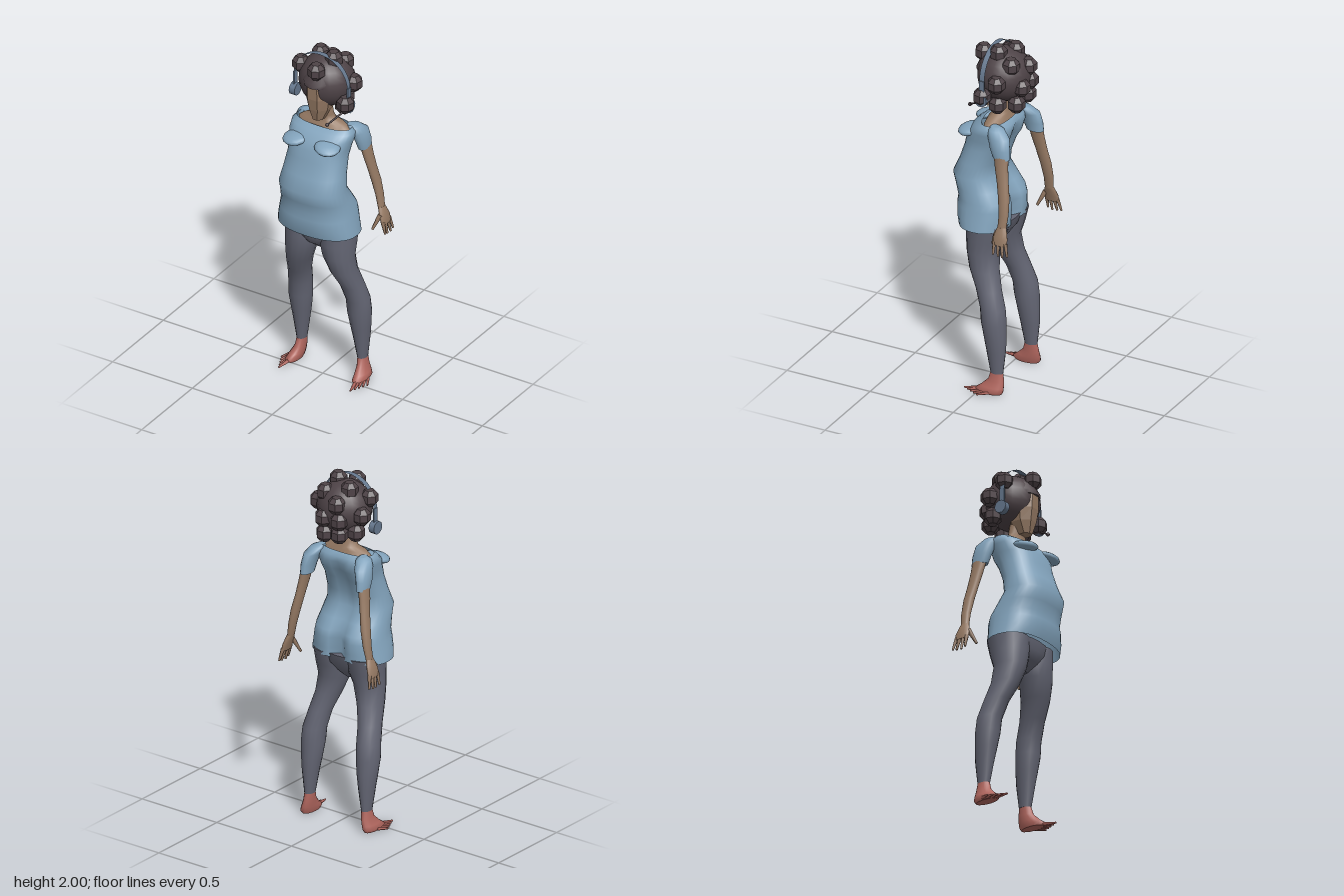
import * as THREE from 'three';

const mat = (name, color, side = THREE.FrontSide, flatShading = false) =>
  Object.assign(new THREE.MeshStandardMaterial({ color, side, flatShading }), { name });
const shirtMat = mat('shirt blue', 0x83a4bd, THREE.DoubleSide);
const pantsMat = mat('leggings grey', 0x646674);
const skinMat = mat('skin brown', 0x967a64);
const faceMat = skinMat;
const footMat = mat('foot red', 0xb0665e);
const hairMat = mat('hair dark', 0x4e4347);
const bandMat = mat('headset grey blue', 0x66788e, THREE.DoubleSide);

// Skin over horizontal rings [cx, y, cz, rx, rz, cleft], lowest ring first
function loft(rings, { sides = 16, power = 1, caps = true, flat = false, turn = 0 } = {}) {
  const pos = [], idx = [];
  const bend = v => Math.sign(v) * Math.abs(v) ** power;
  const addRing = ([cx, y, cz, rx, rz, cleft = 0]) => {
    for (let j = 0; j < sides; j++) {
      const a = (j + turn) / sides * Math.PI * 2;
      const x = rx * bend(Math.sin(a));
      const notch = Math.cos(a) < 0 ? cleft * Math.exp(-((x / 0.045) ** 2)) : 0;
      pos.push(cx + x, y, cz + rz * bend(Math.cos(a)) + notch);
    }
  };
  rings.forEach(addRing);
  for (let i = 0; i < rings.length - 1; i++) {
    for (let j = 0; j < sides; j++) {
      const a = i * sides + j, b = i * sides + (j + 1) % sides;
      idx.push(a, b, b + sides, a, b + sides, a + sides);
    }
  }
  if (caps) {
    for (const [ring, up] of [[rings[0], false], [rings[rings.length - 1], true]]) {
      const s = pos.length / 3;
      addRing(ring);
      pos.push(ring[0], ring[1], ring[2]);
      for (let j = 0; j < sides; j++) {
        const a = s + j, b = s + (j + 1) % sides;
        idx.push(s + sides, up ? a : b, up ? b : a);
      }
    }
  }
  let g = new THREE.BufferGeometry();
  g.setAttribute('position', new THREE.Float32BufferAttribute(pos, 3));
  g.setIndex(idx);
  if (flat) g = g.toNonIndexed();
  g.computeVertexNormals();
  return g;
}

// Tapered rod between two points
function rod(a, b, r0, r1, sides = 6) {
  const A = new THREE.Vector3(...a), B = new THREE.Vector3(...b), d = B.clone().sub(A);
  const g = new THREE.CylinderGeometry(r1, r0, d.length(), sides);
  g.applyQuaternion(new THREE.Quaternion().setFromUnitVectors(new THREE.Vector3(0, 1, 0), d.normalize()));
  return g.translate(...A.add(B).multiplyScalar(0.5).toArray());
}

export function createModel() {
  const model = new THREE.Group();
  model.name = 'standingWoman';
  const add = (name, geometry, material, parent = model) => {
    const mesh = new THREE.Mesh(geometry, material);
    mesh.name = name;
    parent.add(mesh);
    return mesh;
  };

  // Shirt body: [y, half width, back z, front z, cleft]
  const shirt = [
    [0.95, 0.235, -0.12, 0.18, 0.05], [1.0, 0.226, -0.125, 0.195, 0.06], [1.06, 0.214, -0.13, 0.2, 0.06],
    [1.1, 0.208, -0.12, 0.193, 0.05], [1.16, 0.198, -0.08, 0.207, 0.03], [1.23, 0.19, -0.03, 0.225, 0.015],
    [1.31, 0.178, -0.04, 0.19, 0.02], [1.4, 0.168, -0.075, 0.162, 0.03], [1.46, 0.172, -0.11, 0.15, 0.03],
    [1.51, 0.185, -0.12, 0.125, 0.02], [1.545, 0.185, -0.11, 0.085], [1.565, 0.165, -0.085, 0.05],
  ];
  add('shirt', loft(shirt.map(([y, w, b, f, c]) => [0, y, (f + b) / 2, w, (f - b) / 2, c]),
    { sides: 32, power: 0.85, caps: false }), shirtMat);

  // Bare shoulders and neck
  add('neck', loft([
    [0, 1.55, -0.02, 0.16, 0.062], [0, 1.575, -0.02, 0.13, 0.052], [0, 1.59, -0.022, 0.07, 0.045],
    [0, 1.62, -0.015, 0.055, 0.042], [0, 1.7, 0, 0.052, 0.045],
  ]), skinMat);

  // Hips
  add('hips', loft([
    [0, 0.815, 0.015, 0.025, 0.03], [0, 0.86, 0.02, 0.09, 0.08], [0, 0.91, 0.015, 0.17, 0.11],
    [0, 0.97, 0.01, 0.205, 0.12],
  ], { sides: 20 }), pantsMat);

  for (const s of [1, -1]) {
    const side = new THREE.Group();
    side.name = s > 0 ? 'leftLimbs' : 'rightLimbs';
    model.add(side);
    const limb = rings => loft(rings.map(([x, ...rest]) => [x * s, ...rest]));
    const stick = (a, b, r0, r1) => rod([a[0] * s, a[1], a[2]], [b[0] * s, b[1], b[2]], r0, r1);

    // Chest fold of the shirt
    const chest = add('chest', new THREE.SphereGeometry(1, 14, 8), shirtMat, side);
    chest.scale.set(0.072, 0.026, 0.068);
    chest.position.set(0.1 * s, 1.493, 0.112);
    chest.rotation.set(0.2, 0, -0.12 * s);

    // Sleeve and arm
    add('sleeve', limb([
      [0.187, 1.41, -0.122, 0.03, 0.05], [0.184, 1.46, -0.11, 0.035, 0.058],
      [0.17, 1.52, -0.095, 0.042, 0.062], [0.15, 1.555, -0.07, 0.04, 0.045], [0.14, 1.567, -0.06, 0.02, 0.025],
    ]), shirtMat, side);
    add('arm', limb([
      [0.263, 1.04, -0.165, 0.016, 0.025], [0.25, 1.11, -0.168, 0.02, 0.028], [0.233, 1.2, -0.16, 0.024, 0.032],
      [0.217, 1.28, -0.145, 0.022, 0.034], [0.203, 1.36, -0.13, 0.024, 0.038], [0.187, 1.45, -0.118, 0.026, 0.044],
    ]), skinMat, side);

    // Hand
    add('palm', limb([
      [0.291, 0.95, -0.167, 0.013, 0.042], [0.284, 0.985, -0.166, 0.017, 0.043],
      [0.272, 1.02, -0.165, 0.017, 0.034], [0.263, 1.045, -0.165, 0.016, 0.025],
    ]), skinMat, side);
    for (let i = 0; i < 4; i++) {
      const z = -0.2 + i * 0.022;
      add('finger', stick([0.29, 0.965, z], [0.302 + 0.004 * (i % 2), 0.885 + 0.007 * Math.abs(i - 1.5), z * 1.25 + 0.033],
        0.011, 0.006), skinMat, side);
    }
    add('thumb', stick([0.275, 1.005, -0.135], [0.247, 0.925, -0.1], 0.014, 0.007), skinMat, side);

    // Leg
    add('leg', limb([
      [0.19, 0.125, -0.095, 0.026, 0.036], [0.188, 0.25, -0.09, 0.043, 0.054], [0.186, 0.33, -0.083, 0.055, 0.062],
      [0.184, 0.42, -0.073, 0.066, 0.069], [0.18, 0.5, -0.065, 0.065, 0.069], [0.164, 0.6, -0.032, 0.063, 0.071],
      [0.138, 0.7, 0.008, 0.071, 0.083], [0.117, 0.8, 0.026, 0.088, 0.09], [0.108, 0.88, 0.015, 0.1, 0.108],
      [0.108, 0.97, 0.005, 0.102, 0.12],
    ]), pantsMat, side);

    // Foot and toes
    add('foot', limb([
      [0.207, 0.006, -0.06, 0.03, 0.07], [0.209, 0.022, -0.06, 0.038, 0.082], [0.203, 0.045, -0.076, 0.034, 0.066],
      [0.194, 0.08, -0.092, 0.027, 0.047], [0.19, 0.13, -0.095, 0.025, 0.035],
    ]), footMat, side);
    for (let i = 0; i < 5; i++) {
      add('toe', stick([0.208 + i * 0.008, 0.018, -0.005 - i * 0.016],
        [0.224 + i * 0.0115, 0.009, 0.082 - i * 0.024], 0.013 - i * 0.001, 0.005), footMat, side);
    }

    // Headset cup and side strap
    const cup = add('earCup', new THREE.CylinderGeometry(0.037, 0.037, 0.035, 10).rotateZ(Math.PI / 2), bandMat, side);
    cup.position.set(0.168 * s, 1.72, 0.008);
    const strap = add('headsetStrap', new THREE.BoxGeometry(0.008, 0.1, 0.03), bandMat, side);
    strap.position.set(0.168 * s, 1.78, 0.008);
  }

  // Face with flat planes
  add('face', loft([
    [0, 1.612, 0.038, 0.034, 0.042], [0, 1.68, 0.02, 0.066, 0.08], [0, 1.75, 0.02, 0.08, 0.092],
    [0, 1.835, 0.02, 0.074, 0.094],
  ], { sides: 8, turn: 0.5, flat: true }), faceMat);

  // Hair mass and fringe
  const hair = add('hair', new THREE.SphereGeometry(1, 20, 14), hairMat);
  hair.scale.set(0.153, 0.15, 0.145);
  hair.position.set(0, 1.815, -0.04);
  add('fringe', loft([
    [0, 1.826, 0.02, 0.09, 0.1], [0, 1.85, 0.01, 0.105, 0.105], [0, 1.9, 0, 0.09, 0.085],
  ], { sides: 12 }), hairMat);

  // Faceted curls
  const curl = loft([
    [0, -0.045, 0, 0.026, 0.026], [0, -0.02, 0, 0.048, 0.048], [0, 0.02, 0, 0.048, 0.048], [0, 0.045, 0, 0.026, 0.026],
  ], { sides: 7, flat: true });
  const curls = [
    [-0.04, 1.87, -0.16], [0.045, 1.78, -0.165], [-0.15, 1.81, -0.085], [-0.06, 1.935, -0.075],
    [0.07, 1.905, -0.115], [0.15, 1.82, -0.07], [-0.135, 1.885, 0], [0.05, 1.955, -0.03],
    [0.01, 1.92, 0.08], [0.153, 1.73, 0.015], [0.1, 1.675, -0.05], [0.055, 1.68, -0.14],
    [-0.05, 1.7, -0.15], [-0.115, 1.71, -0.09], [-0.055, 1.78, -0.16],
  ];
  for (const p of curls) add('curl', curl, hairMat).position.set(...p);

  // Headset band and microphone
  const band = add('headsetBand',
    new THREE.CylinderGeometry(0.168, 0.168, 0.03, 28, 1, true, Math.PI / 2, Math.PI).rotateX(Math.PI / 2), bandMat);
  band.position.set(0, 1.82, 0.008);
  add('microphoneBoom', rod([0.16, 1.7, 0.02], [0.105, 1.64, 0.11], 0.006, 0.005), hairMat);
  add('microphone', new THREE.SphereGeometry(0.011, 8, 6), hairMat).position.set(0.1, 1.635, 0.115);

  return model;
}
